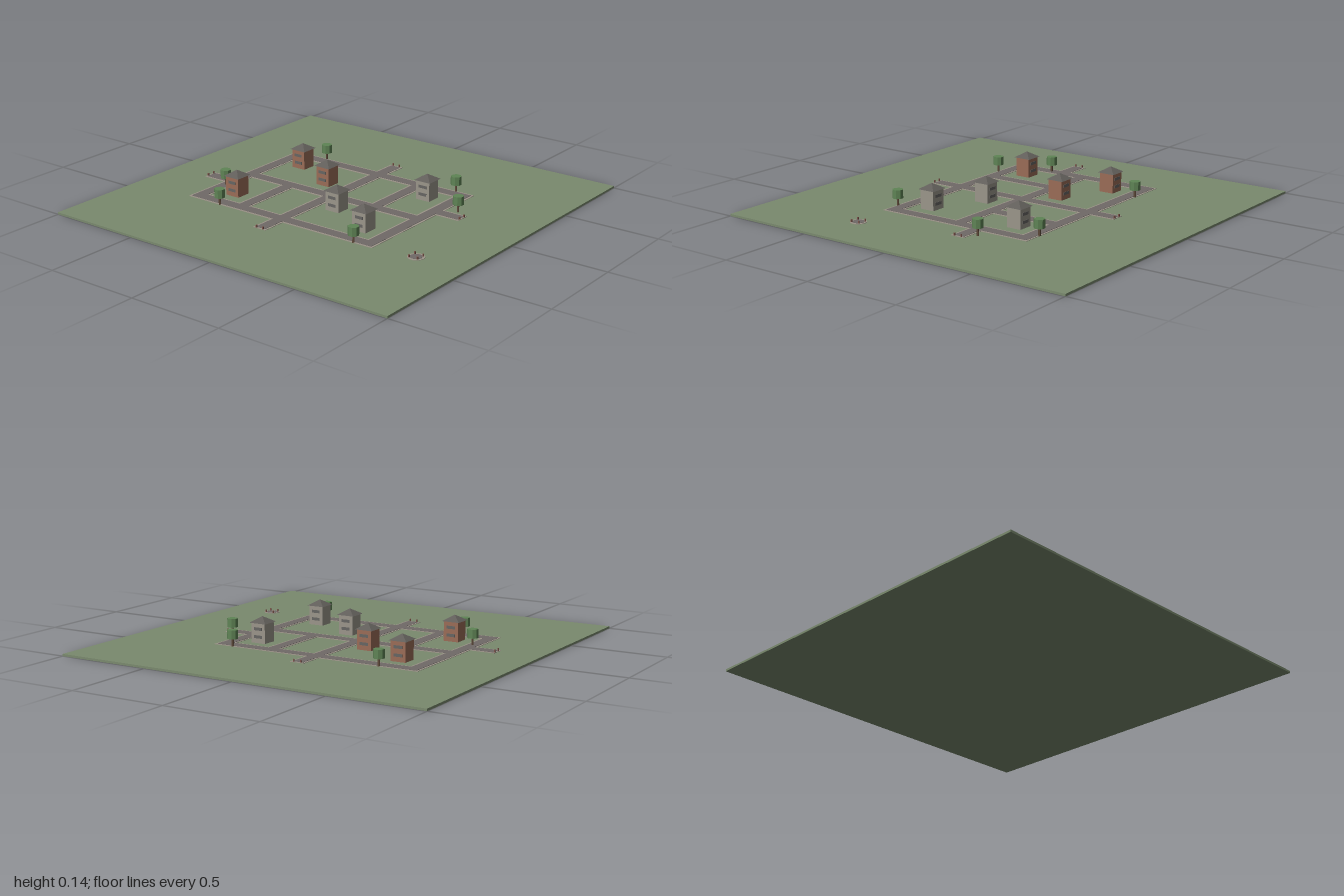
import * as THREE from 'three';

const mat = (name, color) => {
  const m = new THREE.MeshStandardMaterial({ color });
  m.name = name;
  m.flatShading = true;
  return m;
};

export function createModel() {
  const town = new THREE.Group();
  town.name = 'townBlock';
  const grass = mat('grass', 0x7a8a6e), kerb = mat('kerb', 0x9b9488), asphalt = mat('asphalt', 0x706967);
  const stone = mat('stone', 0x9a958a), brick = mat('brick', 0x9a6c57), slate = mat('slate', 0x605d59);
  const glass = mat('windowGrey', 0x666562), leaf = mat('leaf', 0x5f8455), bark = mat('bark', 0x5f4a3a);
  const clay = mat('clay', 0x7a5148);
  const TOP = 0.011;

  const add = (parent, name, geo, material, x, y, z) => {
    const mesh = new THREE.Mesh(geo, material);
    mesh.name = name;
    mesh.position.set(x, y, z);
    parent.add(mesh);
    return mesh;
  };
  const box = (w, h, d) => new THREE.BoxGeometry(w, h, d);

  add(town, 'ground', box(2, TOP, 2), grass, 0, TOP / 2, 0);

  // Roads: a pale kerb slab with a slightly higher asphalt strip on it
  const roads = new THREE.Group();
  roads.name = 'roads';
  town.add(roads);
  const road = (x0, z0, x1, z1) => {
    const strip = (name, width, h, m) => add(roads, name,
      box(x1 - x0 + width, h, z1 - z0 + width), m, (x0 + x1) / 2, TOP + h / 2, (z0 + z1) / 2);
    strip('roadKerb', 0.077, 0.002, kerb);
    strip('roadSurface', 0.056, 0.0035, asphalt);
  };
  const rows = [-0.605, -0.333, -0.068, 0.197, 0.467];
  for (const x of [-0.4, 0, 0.4]) road(x, rows[0], x, rows[4]);
  road(-0.4, rows[0], 0.4, rows[0]);
  road(-0.4, rows[1], 0, rows[1]);
  road(-0.53, rows[2], 0.53, rows[2]);
  road(0, rows[3], 0.4, rows[3]);
  road(-0.4, rows[4], 0.4, rows[4]);
  road(-0.133, -0.735, -0.133, rows[0]);
  road(0.133, rows[4], 0.133, 0.597);

  // Small posts closing the road ends
  const post = (x, z) => add(town, 'endPost', box(0.006, 0.015, 0.006), clay, x, TOP + 0.0075, z);
  for (const s of [-0.02, 0.02]) {
    post(-0.564, rows[2] + s);
    post(0.564, rows[2] + s);
    post(-0.133 + s, -0.767);
    post(0.133 + s, 0.63);
  }

  // Round plaza with its ring of posts
  const px = -0.4, pz = 0.73;
  add(town, 'plazaKerb', new THREE.CylinderGeometry(0.042, 0.042, 0.002, 20), kerb, px, TOP + 0.001, pz);
  add(town, 'plazaSurface', new THREE.CylinderGeometry(0.03, 0.03, 0.0035, 20), asphalt, px, TOP + 0.00175, pz);
  for (let i = 0; i < 4; i++) {
    const a = i * Math.PI / 2 + Math.PI / 4;
    post(px + Math.cos(a) * 0.033, pz + Math.sin(a) * 0.033);
  }

  // Houses with pyramid roofs and two window bands on each side wall
  const house = (x, z, wall) => {
    const g = new THREE.Group();
    g.name = 'house';
    g.position.set(x, TOP, z);
    town.add(g);
    add(g, 'walls', box(0.08, 0.102, 0.08), wall, 0, 0.051, 0);
    const roof = add(g, 'roof', new THREE.ConeGeometry(0.068, 0.03, 4), slate, 0, 0.116, 0);
    roof.rotation.y = Math.PI / 4;
    for (const s of [-1, 1]) for (const y of [0.032, 0.072]) {
      add(g, 'window', box(0.003, 0.015, 0.046), glass, s * 0.0405, y, 0);
    }
  };
  house(-0.267, -0.467, brick);
  house(0.267, -0.467, brick);
  house(0.133, -0.2, brick);
  house(-0.133, 0.067, stone);
  house(-0.267, 0.333, stone);
  house(0.267, 0.333, stone);

  // Trees
  const trees = [[-0.435, -0.437], [0.435, -0.437], [-0.2, -0.603], [-0.435, 0.397], [0.435, 0.397], [0.2, 0.565]];
  for (const [x, z] of trees) {
    const g = new THREE.Group();
    g.name = 'tree';
    g.position.set(x, TOP, z);
    town.add(g);
    add(g, 'trunk', new THREE.CylinderGeometry(0.006, 0.006, 0.042, 6), bark, 0, 0.021, 0);
    const crown = add(g, 'crown', new THREE.CylinderGeometry(0.028, 0.028, 0.045, 8), leaf, 0, 0.0625, 0);
    crown.rotation.y = Math.PI / 8;
  }
  return town;
}
